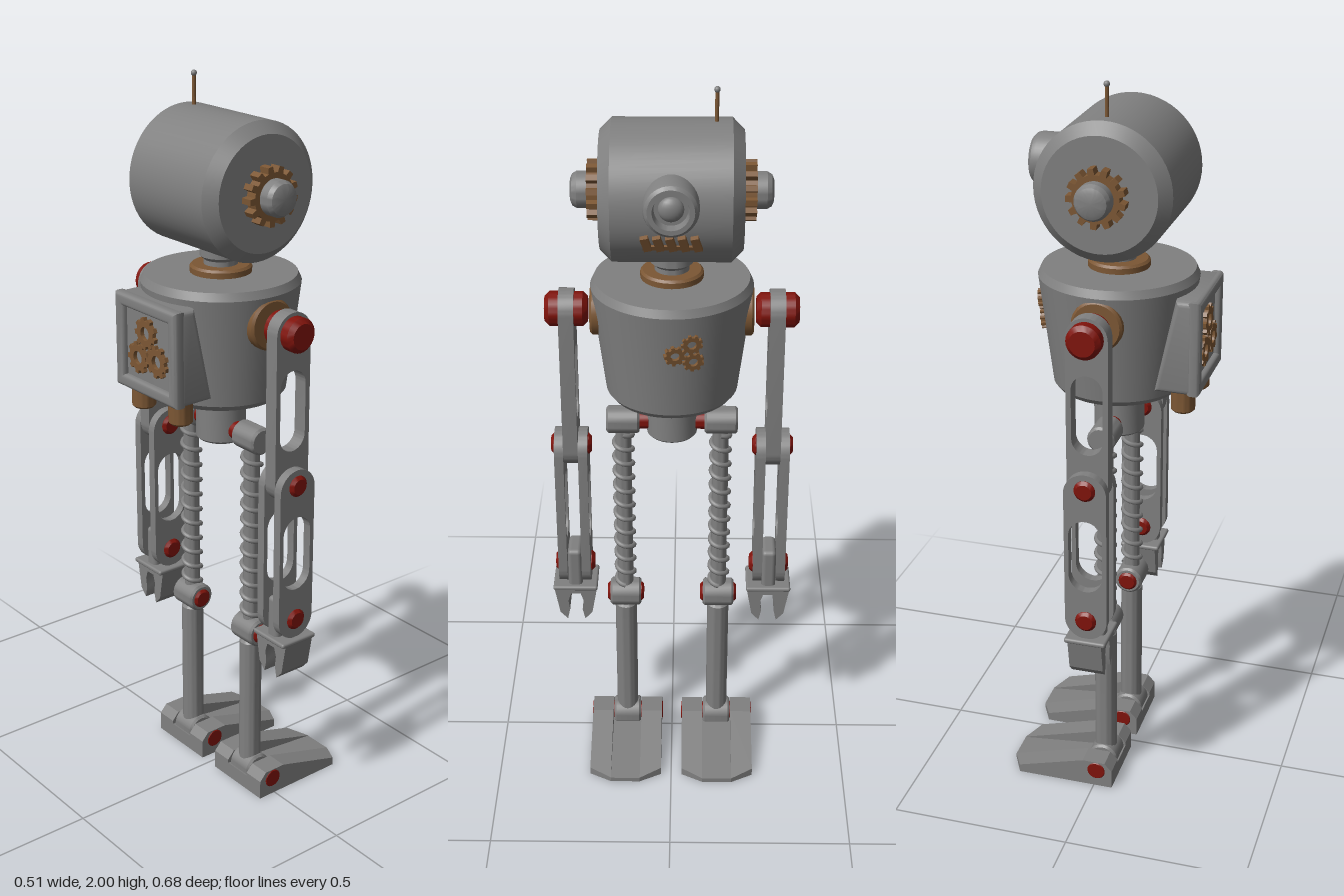
import * as THREE from 'three';
import { toCreasedNormals } from 'three/addons/utils/BufferGeometryUtils.js';
import { RoundedBoxGeometry } from 'three/addons/geometries/RoundedBoxGeometry.js';

const material = (color) => new THREE.MeshStandardMaterial({ color, side: THREE.DoubleSide });
const grey = material(0x808080), red = material(0x80130b), brown = material(0x7c5734);
const V2 = (p) => new THREE.Vector2(p[0], p[1]);

function add(parent, name, geometry, mat, x = 0, y = 0, z = 0) {
  const mesh = new THREE.Mesh(geometry, mat);
  mesh.name = name;
  mesh.position.set(x, y, z);
  parent.add(mesh);
  return mesh;
}

function group(parent, name, x = 0, y = 0, z = 0) {
  const g = new THREE.Group();
  g.name = name;
  g.position.set(x, y, z);
  parent.add(g);
  return g;
}

// Turned part: profile of [radius, distance along axis]
function turned(points, axis = 'y', sides = 40) {
  const g = new THREE.LatheGeometry(points.map(V2), sides);
  if (axis === 'z') g.rotateX(Math.PI / 2);
  if (axis === 'x') g.rotateZ(-Math.PI / 2);
  return toCreasedNormals(g, 0.5);
}

// Cylinder with chamfered ends
const drum = (r, a, b, axis = 'y', c = 0.006, sides = 28) =>
  turned([[0, a], [r - c, a], [r, a + c], [r, b - c], [r - c, b], [0, b]], axis, sides);

function extrude(shape, depth) {
  const g = new THREE.ExtrudeGeometry(shape, { depth, bevelEnabled: false, curveSegments: 14 });
  return toCreasedNormals(g, 0.5);
}

function extrudeBevelled(shape, depth, bevel) {
  return toCreasedNormals(new THREE.ExtrudeGeometry(shape, {
    depth, bevelSize: bevel, bevelThickness: bevel, bevelSegments: 3,
  }), 0.6);
}

// Slot outline with round ends, from y0 to y1
function stadium(Type, r, y0, y1) {
  const s = new Type();
  s.absarc(0, y1 - r, r, 0, Math.PI);
  s.absarc(0, y0 + r, r, Math.PI, Math.PI * 2);
  s.closePath();
  return s;
}

// Link plate with a long slot, lying in the xy plane
function linkPlate(r, y0, y1, slotR, s0, s1, depth) {
  const s = stadium(THREE.Shape, r, y0, y1);
  s.holes.push(stadium(THREE.Path, slotR, s0, s1));
  return extrude(s, depth);
}

function gear(r, teeth, depth, hole) {
  const pts = [];
  for (let i = 0; i < teeth; i++) {
    [[0, 0.8], [0.3, 0.8], [0.4, 1], [0.8, 1], [0.9, 0.8]].forEach(([t, k]) => {
      const a = ((i + t) / teeth) * Math.PI * 2;
      pts.push(new THREE.Vector2(Math.cos(a) * r * k, Math.sin(a) * r * k));
    });
  }
  const s = new THREE.Shape(pts);
  if (hole) s.holes.push(new THREE.Path().absarc(0, 0, hole, 0, Math.PI * 2));
  return extrude(s, depth);
}

// Three meshing gears, the first one at the start angle
function gearCluster(parent, name, r, depth, start) {
  const g = group(parent, name);
  for (let i = 0; i < 3; i++) {
    const a = start + (i * Math.PI * 2) / 3;
    add(g, 'smallGear', gear(r, 9, depth, r * 0.42), brown, Math.cos(a) * r * 1.08, Math.sin(a) * r * 1.08, 0);
  }
  return g;
}

function buildHead(body) {
  const head = group(body, 'head', 0, 1.732, 0);
  add(head, 'headDrum', turned([[0, -0.18], [0.15, -0.18], [0.18, -0.15], [0.18, 0.15], [0.15, 0.18], [0, 0.18]], 'z', 56), grey);
  for (const s of [1, -1]) {
    const ear = group(head, 'ear');
    if (s < 0) ear.rotation.y = Math.PI;
    add(ear, 'earGear', gear(0.077, 13, 0.035), brown, 0, 0, 0.177);
    add(ear, 'earKnob', turned([[0, 0.2], [0.047, 0.2], [0.047, 0.238], [0.04, 0.25], [0.028, 0.255], [0, 0.255]], 'z'), grey);
  }
  add(head, 'eyeHousing', turned([[0.069, 0.12], [0.069, 0.205], [0.066, 0.216], [0.058, 0.224], [0.046, 0.224], [0.042, 0.2], [0, 0.2]], 'x'), grey, 0, 0.031, 0);
  const lens = add(head, 'eyeLens', new THREE.SphereGeometry(0.032, 24, 12), grey, 0.2, 0.031, 0);
  lens.scale.x = 0.6;
  // Slanted mouth grille following the drum
  const mouth = group(head, 'mouth', 0.166, -0.07, 0);
  mouth.rotation.z = -0.4;
  add(mouth, 'mouthStrip', new THREE.BoxGeometry(0.012, 0.012, 0.14), brown, 0, -0.016, 0);
  for (let i = -2; i <= 2; i++) {
    const bar = add(mouth, 'mouthBar', new THREE.BoxGeometry(0.022, 0.044, 0.02), brown, 0, 0, i * 0.031);
    bar.rotation.x = 0.25;
  }
  add(head, 'antenna', drum(0.005, 0.16, 0.262, 'y', 0.001, 12), brown, 0, 0, -0.11);
  add(head, 'antennaTip', new THREE.SphereGeometry(0.008, 14, 10), grey, 0, 0.26, -0.11);
}

function buildTorso(body) {
  add(body, 'neck', turned([[0.045, 1.5], [0.045, 1.53], [0.056, 1.54], [0.056, 1.57], [0, 1.57]]), grey);
  add(body, 'neckWasher', drum(0.082, 1.49, 1.517), brown);
  add(body, 'chest', turned([[0, 1.165], [0.163, 1.165], [0.175, 1.18], [0.212, 1.475], [0.202, 1.496], [0, 1.496]], 'y', 56), grey);
  add(body, 'pelvis', drum(0.068, 1.03, 1.17), grey);
  for (const s of [1, -1]) {
    const washer = add(body, 'shoulderWasher', drum(0.068, 0.15, 0.213, 'z'), brown, 0, 1.4, 0);
    if (s < 0) washer.rotation.y = Math.PI;
  }
  // Chest gears, tilted with the wall
  const emblem = gearCluster(body, 'chestGears', 0.028, 0.016, Math.PI + 0.1);
  emblem.position.set(0.187, 1.373, -0.037);
  emblem.rotation.set(0.127, Math.PI / 2 + 0.19, 0, 'YXZ');

  // Backpack with rimmed panel, gears and two tanks
  const pack = group(body, 'backpack');
  const side = new THREE.Shape([[-0.22, 1.217], [-0.145, 1.217], [-0.195, 1.443], [-0.22, 1.443]].map(V2));
  add(pack, 'packBody', extrudeBevelled(side, 0.23, 0.015), grey, 0, 0, -0.115);
  const frame = new THREE.Shape([[-0.12, 1.212], [0.12, 1.212], [0.12, 1.448], [-0.12, 1.448]].map(V2));
  frame.holes.push(new THREE.Path([[-0.106, 1.226], [-0.106, 1.434], [0.106, 1.434], [0.106, 1.226]].map(V2)));
  add(pack, 'packRim', extrudeBevelled(frame, 0.016, 0.01), grey, -0.225, 0, 0).rotation.y = -Math.PI / 2;
  const gears = gearCluster(pack, 'packGears', 0.043, 0.012, Math.PI / 2 + 0.1);
  gears.position.set(-0.234, 1.325, 0);
  gears.rotation.y = -Math.PI / 2;
  for (const s of [1, -1]) add(pack, 'tank', drum(0.032, 1.14, 1.21), brown, -0.197, 0, s * 0.08);
}

function buildArm(body, s) {
  const arm = group(body, 'arm', 0, 0, s * 0.275);
  if (s < 0) arm.rotation.y = Math.PI;
  add(arm, 'upperArm', linkPlate(0.056, 0.935, 1.455, 0.042, 1.08, 1.3, 0.04), grey, 0, 0, -0.02);
  add(arm, 'shoulderBolt', drum(0.046, -0.055, 0.057, 'z', 0.012), red, 0, 1.4, 0);
  // Forearm: two plates joined by bolts
  for (const z of [-0.045, 0.02])
    add(arm, 'forearmPlate', linkPlate(0.058, 0.545, 1.035, 0.046, 0.69, 0.9, 0.025), grey, 0, 0, z);
  for (const y of [0.99, 0.6]) add(arm, y > 0.8 ? 'elbowBolt' : 'wristBolt', drum(0.029, -0.055, 0.055, 'z', 0.008), red, 0, y, 0);
  // Hand: wrist tab, palm plate and two fingers
  const hand = group(arm, 'hand');
  add(hand, 'wristTab', new RoundedBoxGeometry(0.09, 0.13, 0.04, 2, 0.012), grey, 0, 0.595, 0);
  add(hand, 'palm', new RoundedBoxGeometry(0.116, 0.014, 0.126, 2, 0.006), grey, 0, 0.539, 0);
  const claw = new THREE.Shape([[-0.062, 0.54], [0.062, 0.54], [0.046, 0.45], [0.025, 0.427],
    [0.018, 0.46], [0.022, 0.49], [0.014, 0.515], [-0.014, 0.515], [-0.022, 0.49], [-0.018, 0.46],
    [-0.025, 0.427], [-0.046, 0.45]].map(V2));
  add(hand, 'claw', extrude(claw, 0.094), grey, -0.047, 0, 0).rotation.y = Math.PI / 2;
}

class Helix extends THREE.Curve {
  getPoint(t, target = new THREE.Vector3()) {
    const a = t * Math.PI * 2 * 11;
    return target.set(Math.cos(a) * 0.025, 0.53 + t * 0.5, Math.sin(a) * 0.025);
  }
}

// Foot strip: side profile (x, y) swept from z0 to z1
function footStrip(profile, z0, z1) {
  return new THREE.ExtrudeGeometry(new THREE.Shape(profile.map(V2)), { depth: z1 - z0, bevelEnabled: false })
    .translate(0, 0, z0);
}

// Outer foot strip with its toe corner cut back along the slope
function footSide() {
  const g = footStrip([[-0.046, 0], [0.263, 0], [0.263, 0.014], [0.04, 0.078], [-0.025, 0.078], [-0.046, 0.055]], 0.042, 0.103);
  const p = g.attributes.position;
  for (let i = 0; i < p.count; i++) if (p.getX(i) > 0.2 && p.getZ(i) > 0.1) {
    p.setX(i, 0.231);
    if (p.getY(i) > 0.01) p.setY(i, 0.0232);
  }
  return toCreasedNormals(g, 0.2);
}

function buildLeg(body, s) {
  const leg = group(body, 'leg', 0, 0, s * 0.133);
  add(leg, 'hipJoint', drum(0.038, -0.045, 0.045, 'z'), grey, 0, 1.067, 0);
  add(leg, 'hipPin', drum(0.025, -0.035, 0.035, 'z'), red, 0, 1.067, -s * 0.04);
  add(leg, 'thighRod', drum(0.022, 0.5, 1.05), grey);
  add(leg, 'thighSpring', new THREE.TubeGeometry(new Helix(), 260, 0.007, 7), grey);
  add(leg, 'kneeJoint', drum(0.04, -0.044, 0.044, 'z'), grey, 0, 0.493, 0);
  add(leg, 'kneeBolt', drum(0.027, -0.052, 0.052, 'z'), red, 0, 0.493, 0);
  add(leg, 'shin', drum(0.031, 0.05, 0.46), grey);

  // Foot: lower centre strip between two mirrored sides
  const foot = group(leg, 'foot');
  add(foot, 'ankleJoint', drum(0.042, -0.04, 0.04, 'z'), grey, 0, 0.05, 0);
  add(foot, 'ankleBolt', drum(0.026, -0.105, 0.105, 'z', 0.002), red, 0, 0.05, 0);
  for (const turn of [0, 1]) {
    const geometry = footSide();
    const half = add(foot, 'footSide', geometry, grey);
    if (turn) half.scale.z = -1;
  }
  add(foot, 'footCentre', footStrip([[-0.046, 0], [0.263, 0], [0.263, 0.013], [-0.046, 0.045]], -0.042, 0.042), grey);
}

export function createModel() {
  const model = new THREE.Group();
  model.name = 'robot';
  const body = group(model, 'body', -0.007, 0, 0);
  buildHead(body);
  buildTorso(body);
  for (const s of [1, -1]) {
    buildArm(body, s);
    buildLeg(body, s);
  }
  return model;
}
